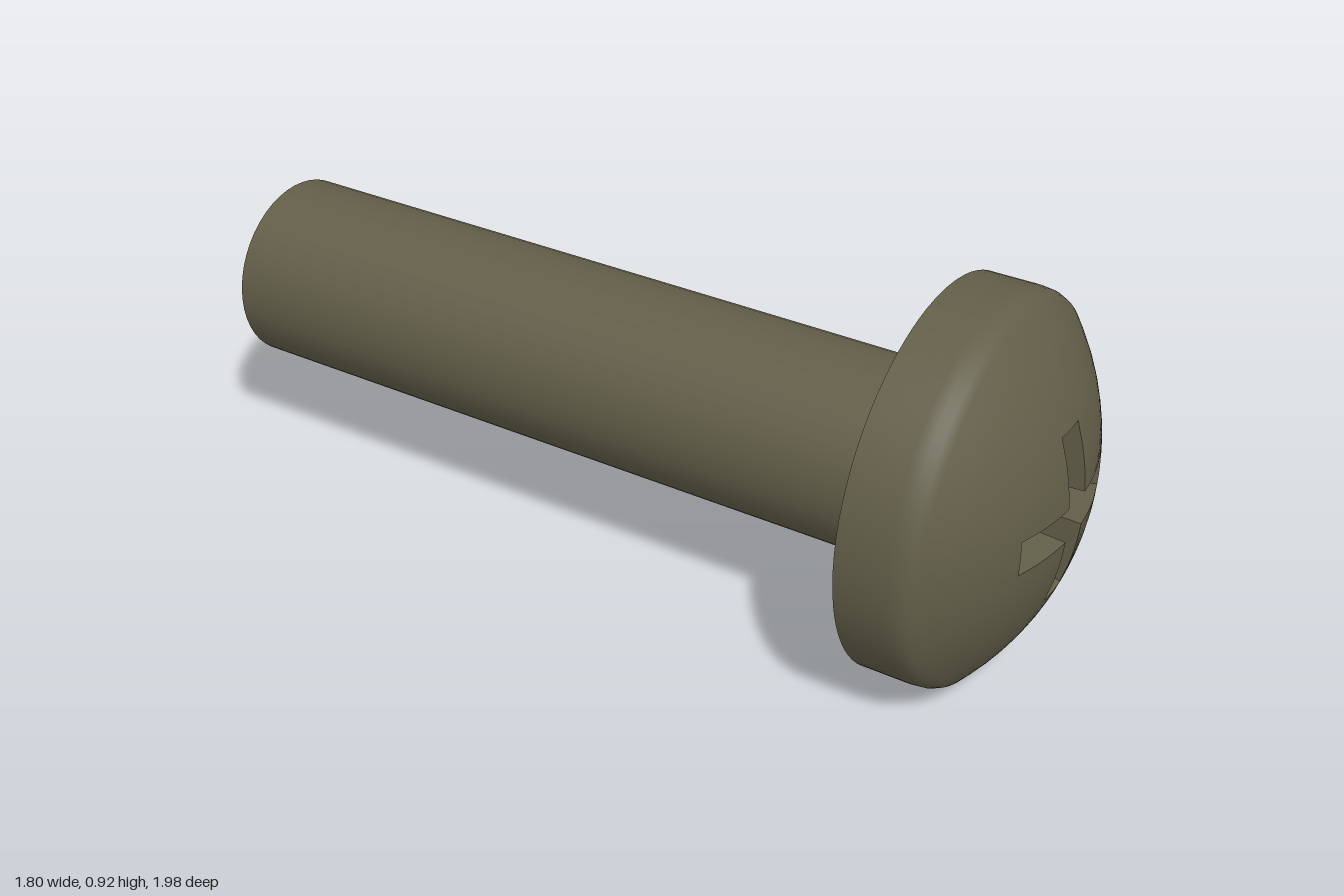
import * as THREE from 'three';

const HEAD_R = 0.46, DOME_EDGE = 0.43, DOME_R = 0.66, DOME_TOP = 0.343;
const SLOT_L = 0.21, SLOT_W = 0.042;      // half length and half width of the cross recess
const SHAFT_R = 0.229, SHAFT_L = 1.838;

const domeHeight = (r) => DOME_TOP - DOME_R + Math.sqrt(DOME_R * DOME_R - r * r);

// Angles round the head, with samples exactly on every corner of the cross
function makeAngles() {
  const tip = Math.atan2(SLOT_W, SLOT_L), eighth = Math.PI / 4, half = [];
  for (let i = 0; i < 2; i++) half.push((tip * i) / 2);
  for (let i = 0; i <= 8; i++) half.push(tip + ((eighth - tip) * i) / 8);
  const quarter = [...half, ...half.slice(1, -1).reverse().map((a) => Math.PI / 2 - a)];
  return [0, 1, 2, 3].flatMap((q) => quarter.map((a) => a + (q * Math.PI) / 2));
}
const angles = makeAngles();

// Cross outline of half length L and half width W, one point per angle
function crossLoop(L, W) {
  return angles.map((angle) => {
    const q = Math.floor(angle / (Math.PI / 2) + 1e-6);
    let a = angle - (q * Math.PI) / 2;
    const flip = a > Math.PI / 4 + 1e-6;
    if (flip) a = Math.PI / 2 - a;
    let x = L, y = W;
    const t = Math.tan(a);
    if (t * SLOT_L <= SLOT_W + 1e-6) y = (W * t * SLOT_L) / SLOT_W;
    else x = W + ((SLOT_W / t - SLOT_W) / (SLOT_L - SLOT_W)) * (L - W);
    const p = flip ? new THREE.Vector2(y, x) : new THREE.Vector2(x, y);
    return p.rotateAround(new THREE.Vector2(), (q * Math.PI) / 2);
  });
}

const circleLoop = (r, z) =>
  angles.map((a) => new THREE.Vector3(r * Math.cos(a), r * Math.sin(a), z));

// Skin between successive loops, ordered from the outside inwards
function loft(loops) {
  const n = angles.length, index = [];
  for (let k = 0; k < loops.length - 1; k++) {
    for (let i = 0; i < n; i++) {
      const j = (i + 1) % n, a = k * n + i, b = k * n + j;
      index.push(a, b, b + n, a, b + n, a + n);
    }
  }
  const geometry = new THREE.BufferGeometry().setFromPoints(loops.flat());
  geometry.setIndex(index);
  geometry.computeVertexNormals();
  return geometry;
}

export function createModel() {
  const model = new THREE.Group();
  model.name = 'screw';
  const material = new THREE.MeshStandardMaterial({ color: 0x625e49 });
  const add = (name, geometry, parent, mat = material) => {
    const mesh = new THREE.Mesh(geometry, mat);
    mesh.name = name;
    parent.add(mesh);
    return mesh;
  };

  // The screw is built along z, with the underside of the head at z = 0
  const head = new THREE.Group();
  head.name = 'head';
  model.add(head);

  // Rim, rounded shoulder and dome down to the edge of the recess
  const slotEdge = crossLoop(SLOT_L, SLOT_W);
  const loops = [[HEAD_R, 0], [HEAD_R, 0.12], [0.457, 0.148], [0.448, 0.168]]
    .map(([r, z]) => circleLoop(r, z));
  for (let k = 0; k <= 8; k++) {
    loops.push(slotEdge.map((p, i) => {
      const outer = new THREE.Vector2(Math.cos(angles[i]), Math.sin(angles[i])).multiplyScalar(DOME_EDGE);
      const v = outer.lerp(p, k / 8);
      return new THREE.Vector3(v.x, v.y, domeHeight(v.length()));
    }));
  }
  add('headDome', loft(loops), head);

  // Cross recess tapering to a small flat floor
  const floorLoop = crossLoop(0.05, 0.03).map((p) => new THREE.Vector3(p.x, p.y, 0.04));
  const floorCentre = angles.map(() => new THREE.Vector3(0, 0, 0.04));
  const recess = loft([loops[loops.length - 1], floorLoop, floorCentre]).toNonIndexed();
  recess.computeVertexNormals();
  const flatMaterial = material.clone();
  flatMaterial.flatShading = true;
  add('crossRecess', recess, head, flatMaterial);

  // Flat underside
  const centre = angles.map(() => new THREE.Vector3());
  add('headUnderside', loft([centre, circleLoop(HEAD_R, 0)]), head);

  // Plain shaft
  const shaft = new THREE.CylinderGeometry(SHAFT_R, SHAFT_R, SHAFT_L, 48).rotateX(Math.PI / 2);
  add('shaft', shaft, model).position.z = -SHAFT_L / 2;

  // Lay the screw down at an angle
  model.rotation.y = THREE.MathUtils.degToRad(39.55);
  model.position.set(0.4375, HEAD_R, 0.5625);
  const root = new THREE.Group();
  root.name = 'screwModel';
  root.add(model);
  return root;
}
